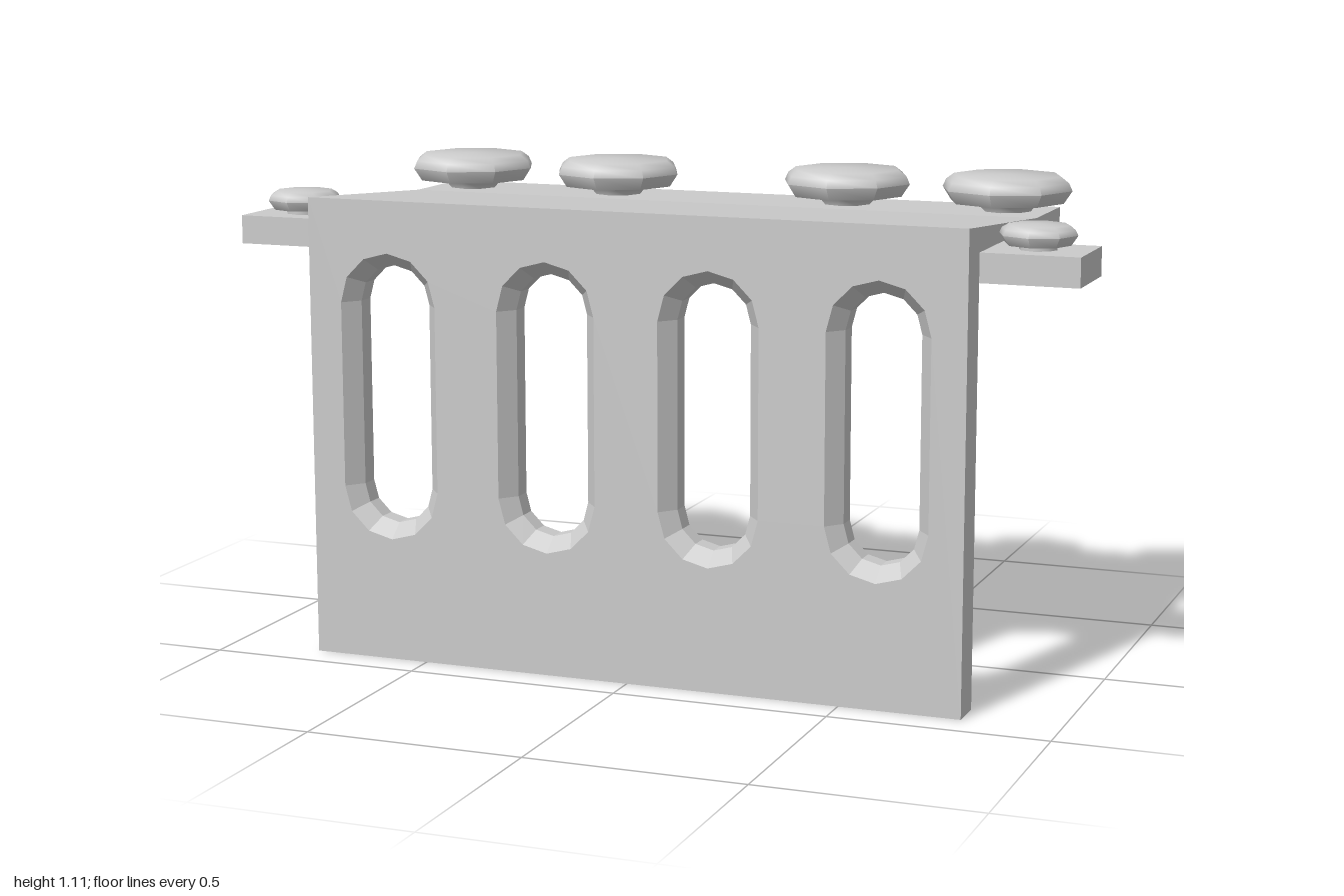
import * as THREE from 'three';
import { toCreasedNormals } from 'three/addons/utils/BufferGeometryUtils.js';

const HALF = 0.78;    // half width of plate and shelf
const FRONT = 0.42;   // front face of the plate
const BACK = 0.336;   // open rear of the plate
const TAIL = -0.371;  // rear end of the shelf
const BEND = -0.15;   // where the shelf turns level

// Faceted sheet through rows of points
function sheet(rows) {
  const grid = new THREE.PlaneGeometry(1, 1, rows[0].length - 1, rows.length - 1);
  rows.flat().forEach((p, i) => grid.attributes.position.setXYZ(i, ...p));
  const flat = grid.toNonIndexed();
  flat.computeVertexNormals();
  return flat;
}

// Strip across the full width, following a line of [z, y] points
const strip = (line) => sheet(line.map(([z, y]) => [[-HALF, y, z], [HALF, y, z]]));

// Outline of an upright slot with half-round ends
function slotOutline(cx, radius) {
  const points = [];
  for (const [cy, start] of [[0.832, 0], [0.403, Math.PI]]) {
    for (let i = 0; i <= 6; i++) {
      const a = start + (i / 6) * Math.PI;
      points.push([cx + radius * Math.cos(a), cy + radius * Math.sin(a)]);
    }
  }
  return [...points, points[0]];
}

const toVectors = (points) => points.map(([x, y]) => new THREE.Vector2(x, y));

export function createModel() {
  const group = new THREE.Group();
  const solid = new THREE.MeshStandardMaterial({ color: 0xcccccc });
  const thin = new THREE.MeshStandardMaterial({ color: 0xcccccc, side: THREE.DoubleSide });
  const add = (name, geometry, material, x = 0, y = 0, z = 0) => {
    const mesh = new THREE.Mesh(geometry, material);
    mesh.name = name;
    mesh.position.set(x, y, z);
    group.add(mesh);
  };

  // Front plate with four slots, each lined by a chamfer and a straight sleeve
  const plate = new THREE.Shape(toVectors([[-HALF, 0], [HALF, 0], [HALF, 1.07], [-HALF, 1.07]]));
  for (const cx of [-0.583, -0.194, 0.194, 0.583]) {
    plate.holes.push(new THREE.Path(toVectors(slotOutline(cx, 0.118).slice(0, -1))));
    const rings = [[0.118, FRONT], [0.086, 0.38], [0.086, BACK]];
    add('slotLining', sheet(rings.map(([r, z]) => slotOutline(cx, r).map(([x, y]) => [x, y, z]))), thin);
  }
  add('frontPlate', new THREE.ShapeGeometry(plate), thin, 0, 0, FRONT);

  // Side walls of the hollow plate and shelf
  const profile = [
    [FRONT, 0], [FRONT, 1.07], [BEND, 1.025], [TAIL, 1.025],
    [TAIL, 0.943], [BEND, 0.943], [BACK, 0.987], [BACK, 0],
  ];
  for (const side of [-1, 1]) {
    const wall = new THREE.ShapeGeometry(new THREE.Shape(toVectors(profile.map(([z, y]) => [-z, y]))));
    wall.rotateY(Math.PI / 2);
    add('sideWall', wall, thin, side * HALF);
  }

  // Skins between the side walls; the plate's rear and the level part's underside stay open
  add('shelfTop', strip(profile.slice(1, 5)), thin);
  add('shelfUnderside', strip(profile.slice(5, 7)), thin);
  add('plateBottom', strip([profile[7], profile[0]]), thin);

  // Eight-sided knob turned from a profile of [radius, height]
  const knob = (name, points, x, z) => {
    const lathe = new THREE.LatheGeometry(toVectors(points), 8);
    add(name, toCreasedNormals(lathe, 1.0), solid, x, 0, z);
  };

  // Large knobs along the back, with stems through the shelf top
  for (const x of [-0.683, -0.295, 0.29, 0.68]) {
    knob('largeKnob', [
      [0, 1.008], [0.057, 1.008], [0.057, 1.025], [0.076, 1.046],
      [0.135, 1.046], [0.155, 1.076], [0.147, 1.094], [0.128, 1.108], [0, 1.11],
    ], x, -0.263);
  }

  // Side arms with small knobs
  for (const side of [-1, 1]) {
    add('sideArm', new THREE.BoxGeometry(0.32, 0.066, 0.192), solid, side * 0.84, 0.976, 0.24);
    knob('smallKnob', [
      [0, 1.0], [0.042, 1.0], [0.042, 1.02], [0.072, 1.02],
      [0.087, 1.042], [0.081, 1.054], [0.066, 1.063], [0, 1.065],
    ], side * 0.884, 0.243);
  }

  return group;
}
